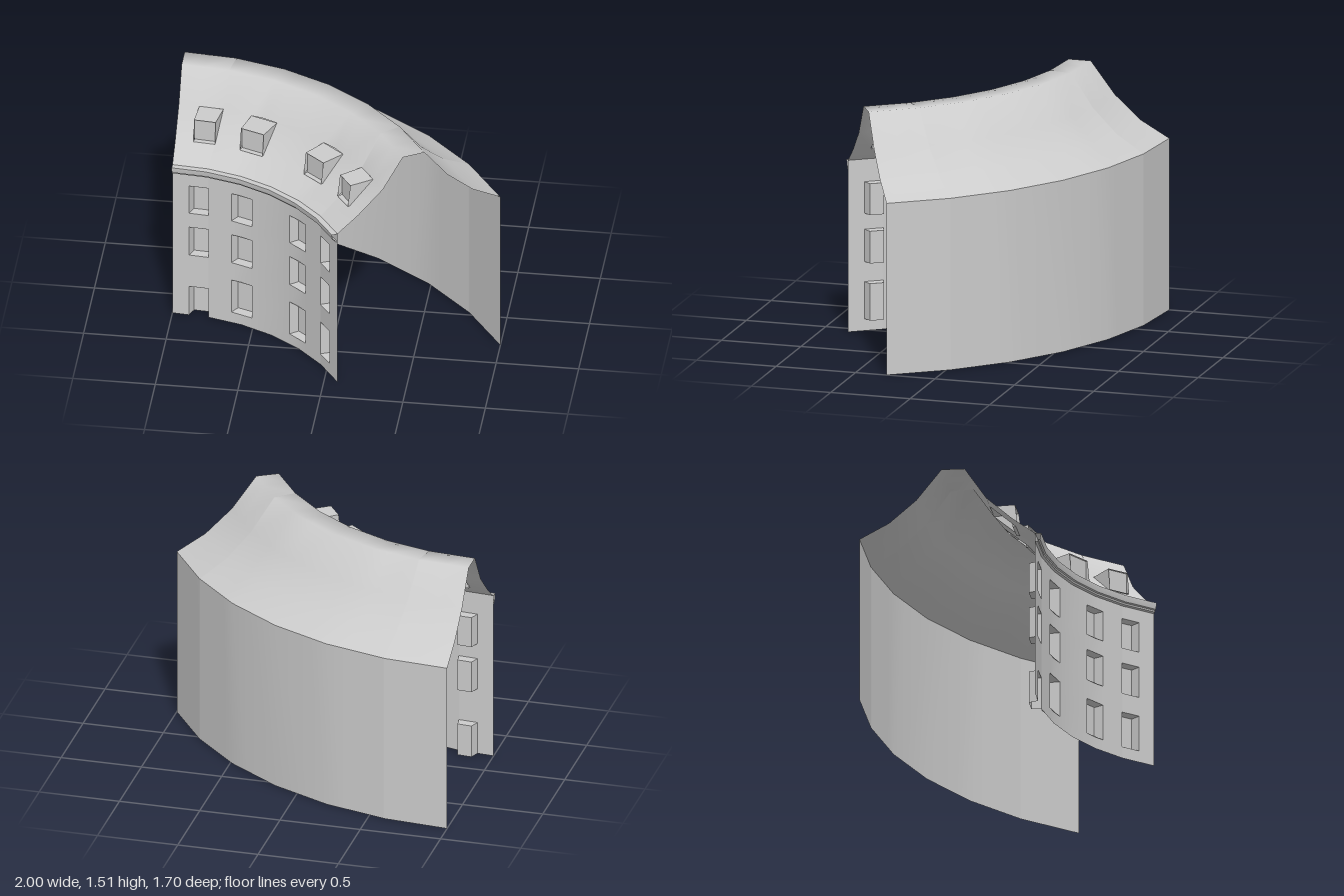
import * as THREE from 'three';
import { toCreasedNormals } from 'three/addons/utils/BufferGeometryUtils.js';

const material = new THREE.MeshStandardMaterial({ color: 0xcccccc, side: THREE.DoubleSide });

// The house is a 60 degree slice of a ring around this centre.
const CENTRE_X = -1, CENTRE_Z = 1.459;
const SWEEP = 60, FACET = 10;
const WALL_R = 1.25, BACK_R = 2.309, EAVES = 1.065;

// Angular bounds of the four bays, symmetric about the middle of the slice
const bays = [[4.7, 10.2], [17, 23.4], [36.6, 43], [49.8, 55.3]];
const rows = [[0.075, 0.305], [0.43, 0.63], [0.73, 0.925]];
const DOOR_TOP = 0.205;

const angles = [...bays.flat()];
for (let a = 0; a <= SWEEP; a += FACET) angles.push(a);
angles.sort((a, b) => a - b);

// Point at an angle (degrees), radius and height, lying on the ten degree facets
function pt(deg, r, y) {
  const rad = THREE.MathUtils.degToRad;
  const k = r * Math.cos(rad(FACET / 2)) / Math.cos(rad((deg % FACET) - FACET / 2));
  const a = rad(deg);
  return [CENTRE_X + k * Math.sin(a), y, CENTRE_Z - k * Math.cos(a)];
}

// Sweep a [radius, height] profile along the arc, leaving out cells where isHole is true
function sweep(profile, isHole = () => false) {
  const pos = [], index = [], n = profile.length;
  for (const a of angles) for (const [r, y] of profile) pos.push(...pt(a, r, y));
  for (let i = 0; i < angles.length - 1; i++) {
    for (let j = 0; j < n - 1; j++) {
      const mid = (angles[i] + angles[i + 1]) / 2;
      if (isHole(mid, j, (profile[j][1] + profile[j + 1][1]) / 2)) continue;
      const p = i * n + j, q = p + n;
      index.push(p, q, q + 1, p, q + 1, p + 1);
    }
  }
  const geo = new THREE.BufferGeometry();
  geo.setAttribute('position', new THREE.Float32BufferAttribute(pos, 3));
  geo.setIndex(index);
  geo.computeVertexNormals();
  return geo;
}

// Flat-faced geometry from a list of four-cornered faces
function quads(list) {
  const pos = [];
  for (const [a, b, c, d] of list) pos.push(...a, ...b, ...c, ...a, ...c, ...d);
  const geo = new THREE.BufferGeometry();
  geo.setAttribute('position', new THREE.Float32BufferAttribute(pos, 3));
  geo.computeVertexNormals();
  return geo;
}

// Recess behind a wall opening: slightly splayed jambs, head, sill and pane
function recess([a0, a1], y0, y1, hasSill) {
  const inset = 0.8, r = WALL_R, back = WALL_R + 0.06;
  const f = [pt(a0, r, y0), pt(a1, r, y0), pt(a1, r, y1), pt(a0, r, y1)];
  const b = [pt(a0 + inset, back, y0), pt(a1 - inset, back, y0),
    pt(a1 - inset, back, y1), pt(a0 + inset, back, y1)];
  const list = [[b[0], b[1], b[2], b[3]]];
  for (let i = hasSill ? 0 : 1; i < 4; i++) {
    const k = (i + 1) % 4;
    list.push([f[i], f[k], b[k], b[i]]);
  }
  return quads(list);
}

// Roof dormer: level top, wedge cheeks and a pane set back behind a sill
function dormer([a0, a1], low, high) {
  const frontLow = low[0] - 0.012, frontHigh = low[0] + 0.006, pane = low[0] + 0.02;
  const cheek = (a) => [pt(a, frontLow, low[1]), pt(a, low[0], low[1]),
    pt(a, high[0], high[1]), pt(a, frontHigh, high[1])];
  const across = (r0, y0, r1, y1) => [pt(a0, r0, y0), pt(a1, r0, y0), pt(a1, r1, y1), pt(a0, r1, y1)];
  return quads([
    cheek(a0), cheek(a1).reverse(),
    across(frontHigh, high[1], high[0], high[1]),
    across(frontLow, low[1], pane, low[1]),
    across(pane, low[1], pane, high[1]),
  ]);
}

export function createModel() {
  const group = new THREE.Group();
  const add = (name, geo) => {
    const mesh = new THREE.Mesh(geo, material);
    mesh.name = name;
    group.add(mesh);
  };
  const inBay = (a) => bays.findIndex(([a0, a1]) => a > a0 && a < a1);

  // Concave front wall with openings
  const levels = [0, DOOR_TOP, ...rows.flat(), EAVES].sort((a, b) => a - b);
  add('frontWall', sweep(levels.map((y) => [WALL_R, y]), (a, j, y) => {
    const bay = inBay(a);
    if (bay < 0) return false;
    if (bay === 0 && y < rows[0][1]) return y < DOOR_TOP;
    return rows.some(([y0, y1]) => y > y0 && y < y1);
  }));

  // Windows on every floor, with the door in the first bay
  bays.forEach((bay, b) => rows.forEach(([y0, y1], r) => {
    if (b === 0 && r === 0) add('door', recess(bay, 0, DOOR_TOP, false));
    else add('window', recess(bay, y0, y1, true));
  }));

  // Convex back wall
  add('backWall', sweep([[BACK_R, 0], [BACK_R, EAVES]]));

  // Stepped cornice under the front eaves
  add('cornice', toCreasedNormals(sweep([
    [WALL_R, 1.008], [1.235, 1.012], [1.232, 1.022], [1.222, 1.026],
    [1.214, 1.058], [1.214, EAVES], [WALL_R, EAVES],
  ]), 0.45));

  // Bell-shaped roof, open where the dormers stand
  const roof = [[WALL_R, EAVES], [1.385, 1.165], [1.545, 1.31], [1.675, 1.508],
    [1.815, 1.508], [1.967, 1.31], [2.13, 1.165], [BACK_R, EAVES]];
  add('roof', sweep(roof, (a, j) => j === 1 && inBay(a) >= 0));
  for (const bay of bays) add('dormer', dormer(bay, roof[1], roof[2]));

  return group;
}
